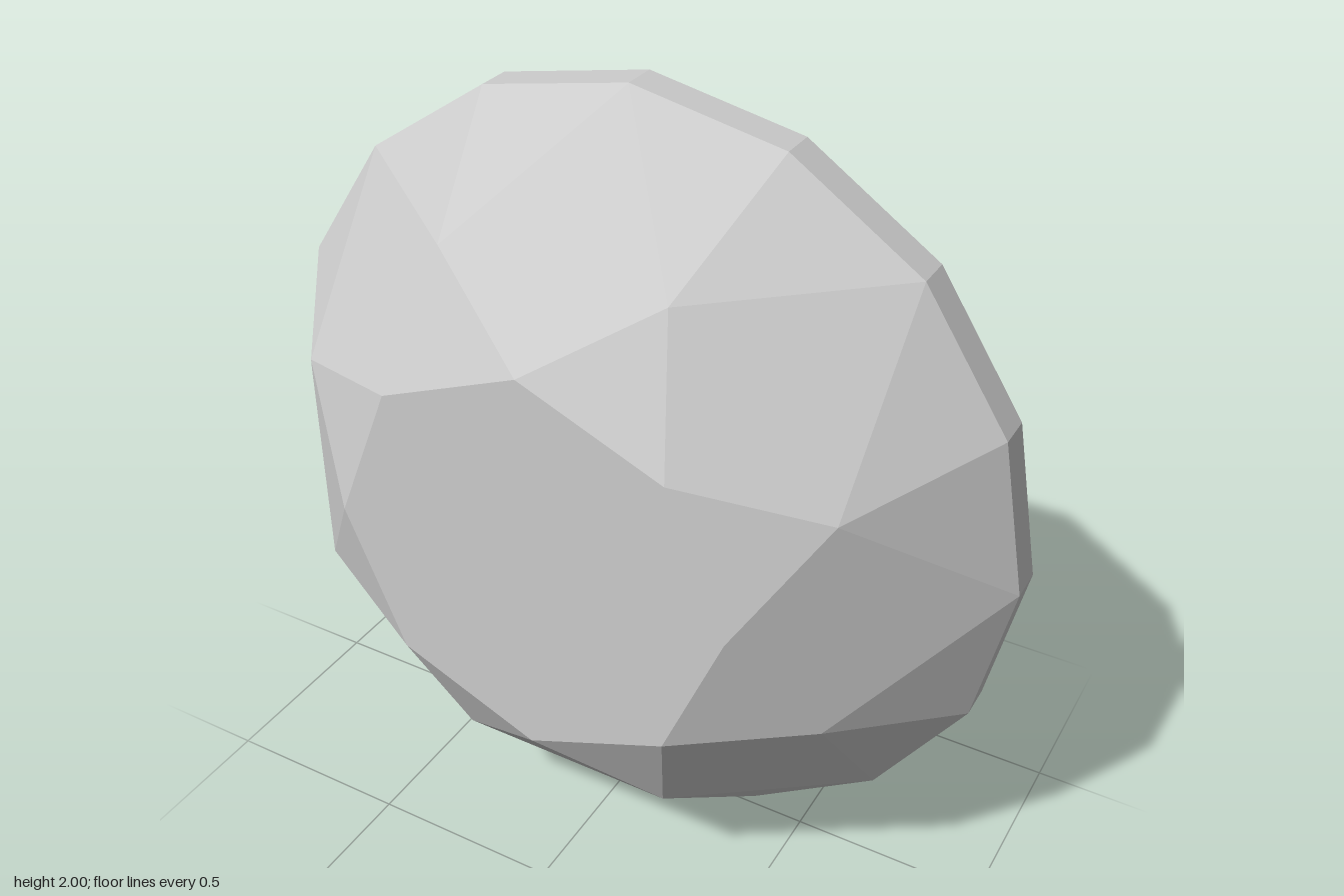
import * as THREE from 'three';

const SIDES = 8, STEP = (Math.PI * 2) / SIDES;
const HALF_GIRDLE = 0.045;

// Point on a ring around the z axis; k counts eighths of a turn
const ring = (radius, z) => (k) =>
  new THREE.Vector3(radius * Math.cos(k * STEP), radius * Math.sin(k * STEP), z);

const table = ring(0.51, 0.525);
const middle = ring(0.747, 0.38);
const rim = ring(1, HALF_GIRDLE);
const rimBack = ring(1, -HALF_GIRDLE);

// Flat-shaded facets: each polygon is fanned and given one normal
function facetGeometry(polygons) {
  const positions = [], normals = [];
  for (const poly of polygons) {
    const normal = new THREE.Vector3();
    poly.forEach((p, i) => normal.add(p.clone().cross(poly[(i + 1) % poly.length])));
    normal.normalize();
    for (let i = 1; i < poly.length - 1; i++) {
      for (const p of [poly[0], poly[i], poly[i + 1]]) {
        positions.push(p.x, p.y, p.z);
        normals.push(normal.x, normal.y, normal.z);
      }
    }
  }
  const geometry = new THREE.BufferGeometry();
  geometry.setAttribute('position', new THREE.Float32BufferAttribute(positions, 3));
  geometry.setAttribute('normal', new THREE.Float32BufferAttribute(normals, 3));
  return geometry;
}

export function createModel() {
  const model = new THREE.Group();
  model.name = 'cutGem';
  const material = new THREE.MeshStandardMaterial({ color: 0xcccccc });

  const tableFacet = [], stars = [], kites = [], rimFacets = [], girdle = [];
  for (let k = 0; k < SIDES; k++) {
    const h = k + 0.5;
    tableFacet.push(table(k));
    stars.push([table(k), middle(h), table(k + 1)]);
    kites.push([middle(k - 0.5), rim(k), middle(k + 0.5), table(k)]);
    rimFacets.push([rim(k), rim(h), middle(h)], [rim(h), rim(k + 1), middle(h)]);
    for (const a of [k, h]) {
      girdle.push([rimBack(a), rimBack(a + 0.5), rim(a + 0.5), rim(a)]);
    }
  }

  // Both faceted halves share the same cut
  const parts = {
    table: facetGeometry([tableFacet]),
    starFacets: facetGeometry(stars),
    kiteFacets: facetGeometry(kites),
    rimFacets: facetGeometry(rimFacets),
  };
  for (const side of ['front', 'back']) {
    const half = new THREE.Group();
    half.name = side + 'Half';
    for (const [name, geometry] of Object.entries(parts)) {
      const mesh = new THREE.Mesh(geometry, material);
      mesh.name = name;
      half.add(mesh);
    }
    half.position.y = 1;
    if (side === 'back') half.rotation.y = Math.PI;
    model.add(half);
  }

  // Narrow band around the widest part
  const band = new THREE.Mesh(facetGeometry(girdle), material);
  band.name = 'girdle';
  band.position.y = 1;
  model.add(band);

  return model;
}
